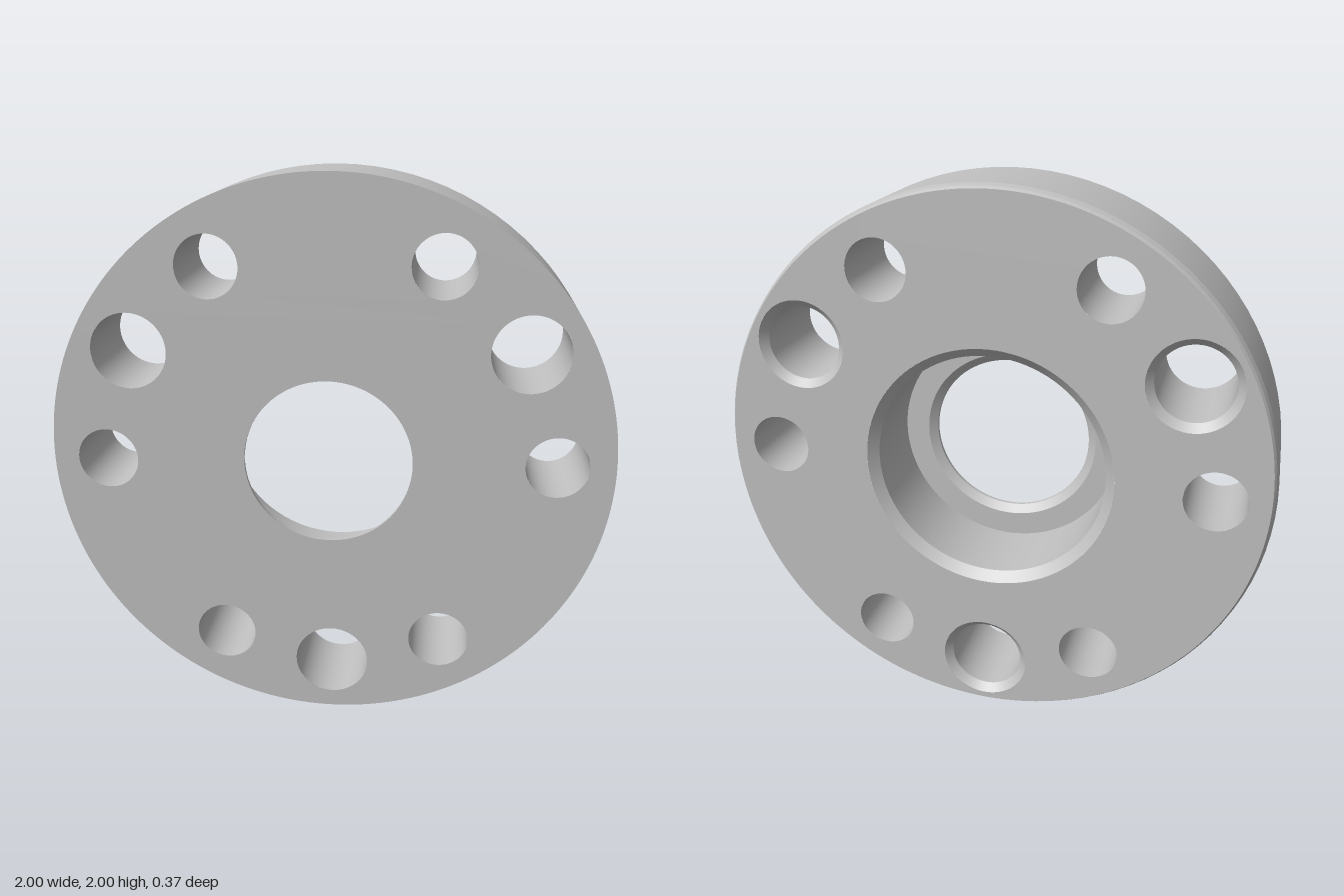
import * as THREE from 'three';

const SEG = 96;
const HALF = 0.183; // half the thickness
const PITCH = 0.8; // radius of the bolt circle
const steel = new THREE.MeshStandardMaterial({ color: 0xc0c0c0 });
steel.name = 'steel grey';

// Turned surface about z from [radius, z] points; each band keeps sharp edges.
function turned(name, profile, x = 0, y = 0) {
  const group = new THREE.Group();
  group.name = name;
  for (let i = 0; i < profile.length - 1; i++) {
    const band = profile.slice(i, i + 2).map(([r, z]) => new THREE.Vector2(r, z));
    const mesh = new THREE.Mesh(new THREE.LatheGeometry(band, SEG).rotateX(Math.PI / 2), steel);
    mesh.name = name + 'Band';
    group.add(mesh);
  }
  group.position.set(x, y, 0);
  return group;
}

// Flat disc face pierced by round holes.
function face(name, radius, holes) {
  const shape = new THREE.Shape().absarc(0, 0, radius, 0, Math.PI * 2, false);
  for (const [x, y, r] of holes) {
    shape.holes.push(new THREE.Path().absarc(x, y, r, 0, Math.PI * 2, true));
  }
  const mesh = new THREE.Mesh(new THREE.ShapeGeometry(shape, SEG), steel);
  mesh.name = name;
  return mesh;
}

export function createModel() {
  const model = new THREE.Group();
  model.name = 'boltedFlange';
  const disc = new THREE.Group();
  disc.name = 'disc';
  disc.position.y = 1;
  model.add(disc);

  // Outer rim with a slightly eased back edge
  disc.add(turned('rim', [[0.985, -HALF], [0.993, -0.172], [1, -0.148], [1, HALF]]));

  // Stepped centre bore: thin front lip, chamfer, floor, wall, back chamfer
  disc.add(turned('centreBore', [
    [0.3, HALF], [0.3, 0.17], [0.33, 0.147], [0.42, 0.147], [0.42, -0.15], [0.455, -HALF],
  ]));
  const frontHoles = [[0, 0, 0.3]];
  const backHoles = [[0, 0, 0.455]];

  // Ring of holes: six plain bolt holes and three larger ones chamfered at the back
  const addHole = (name, degrees, profile) => {
    const a = THREE.MathUtils.degToRad(degrees);
    const x = PITCH * Math.cos(a), y = PITCH * Math.sin(a);
    disc.add(turned(name, profile, x, y));
    frontHoles.push([x, y, profile[0][0]]);
    backHoles.push([x, y, profile[profile.length - 1][0]]);
  };
  for (let i = 0; i < 6; i++) addHole('boltHole', 1 + i * 60, [[0.11, HALF], [0.11, -HALF]]);
  for (let i = 0; i < 3; i++) {
    addHole('chamferedHole', 31 + i * 120, [[0.135, HALF], [0.135, -0.155], [0.162, -HALF]]);
  }

  // Front and back faces
  const front = face('frontFace', 1, frontHoles);
  front.position.z = HALF;
  // Turning the back face about y mirrors x, so its holes are mirrored first
  const back = face('backFace', 0.985, backHoles.map(([x, y, r]) => [-x, y, r]));
  back.rotation.y = Math.PI;
  back.position.z = -HALF;
  disc.add(front, back);
  return model;
}
